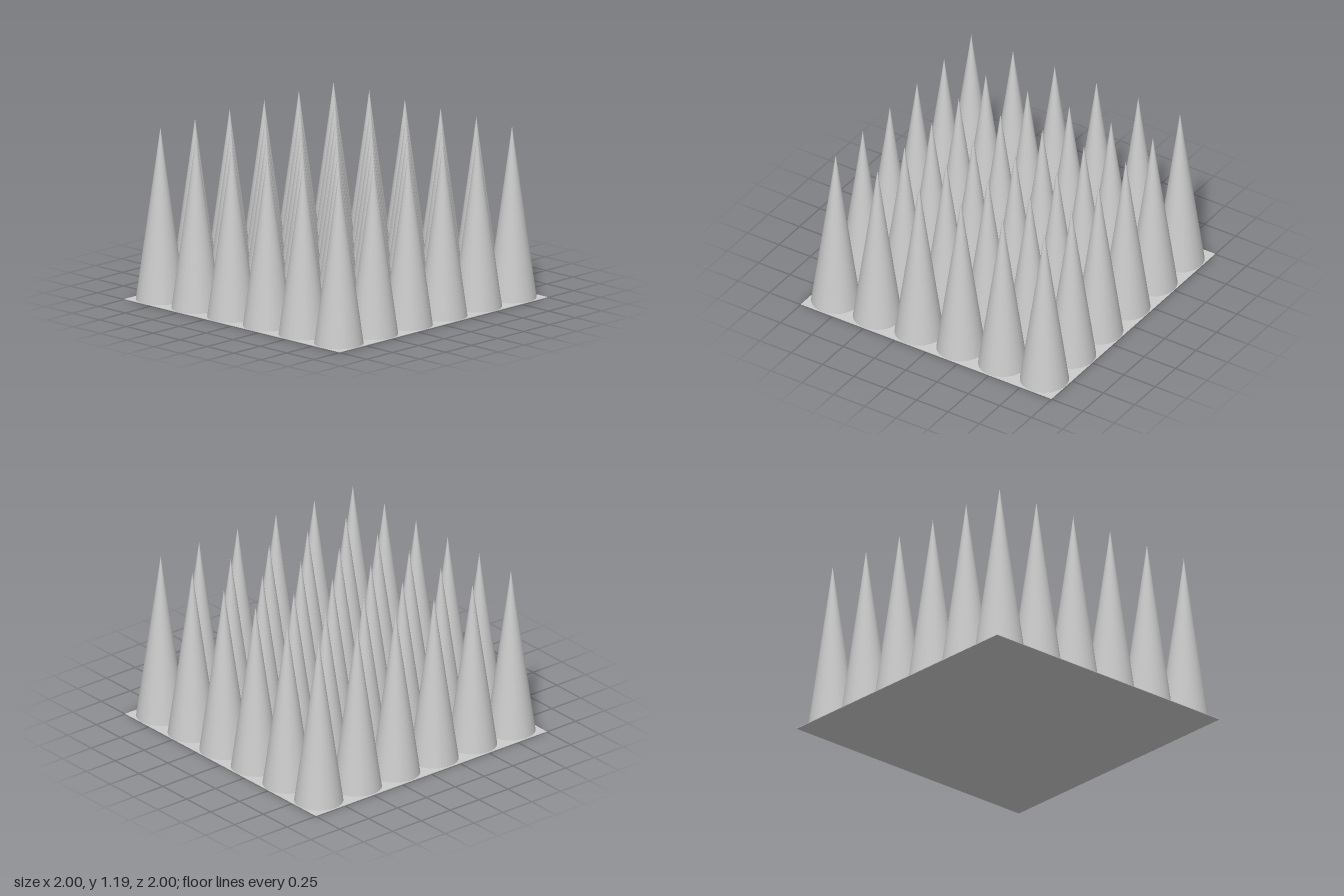
import * as THREE from 'three';

const COUNT = 6;
const PITCH_X = 0.333;
const PITCH_Z = 0.3314;
const RADIUS = 0.165;
const PLATE = 0.004;
const TOP = 1.19;

export function createModel() {
  const group = new THREE.Group();
  group.name = 'spikeBoard';
  const material = new THREE.MeshStandardMaterial({ color: 0xcccccc, flatShading: true });

  // Thin square base plate
  const plate = new THREE.Mesh(new THREE.BoxGeometry(2, PLATE, 2), material);
  plate.name = 'basePlate';
  plate.position.y = PLATE / 2;
  group.add(plate);

  // Grid of tall cones standing on the plate
  const height = TOP - PLATE;
  const cone = new THREE.ConeGeometry(RADIUS, height, 48, 1, true);
  const middle = (COUNT - 1) / 2;
  for (let row = 0; row < COUNT; row++) {
    for (let col = 0; col < COUNT; col++) {
      const spike = new THREE.Mesh(cone, material);
      spike.name = `spike_${row + 1}_${col + 1}`;
      spike.position.set((col - middle) * PITCH_X, PLATE + height / 2, (row - middle) * PITCH_Z + 0.002);
      group.add(spike);
    }
  }
  return group;
}
